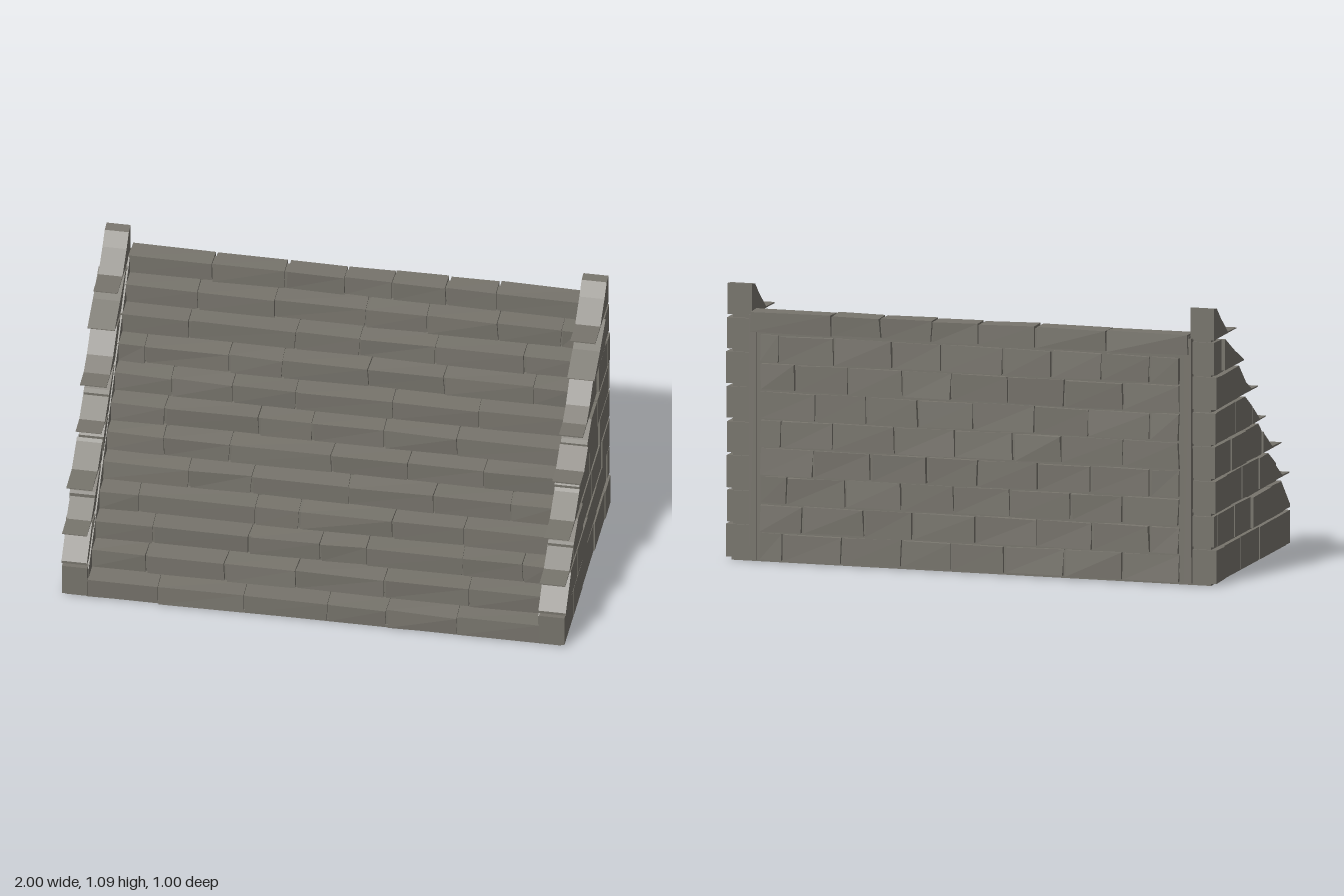
import * as THREE from 'three';

const stone = new THREE.MeshStandardMaterial({ color: 0x77746c, flatShading: true });
stone.name = 'grey stone';

// Repeatable unevenness
let seed = 7;
const wobble = (a) => {
  seed = (seed * 16807) % 2147483647;
  return (seed / 2147483647 - 0.5) * 2 * a;
};

function add(group, name, geometry) {
  const mesh = new THREE.Mesh(geometry, stone);
  mesh.name = name;
  group.add(mesh);
  return mesh;
}

// Rough block between two corners: a box whose eight corners are nudged
function block(x0, x1, y0, y1, z0, z1, rough = 0.004) {
  const g = new THREE.BoxGeometry(x1 - x0, y1 - y0, z1 - z0);
  const shifts = Array.from({ length: 8 }, () => [wobble(rough), wobble(rough * 0.7), wobble(rough)]);
  const p = g.attributes.position;
  for (let i = 0; i < p.count; i++) {
    const k = (p.getX(i) > 0 ? 1 : 0) + (p.getY(i) > 0 ? 2 : 0) + (p.getZ(i) > 0 ? 4 : 0);
    const s = shifts[k];
    p.setXYZ(i, p.getX(i) + s[0], p.getY(i) + s[1], p.getZ(i) + s[2]);
  }
  g.translate((x0 + x1) / 2, (y0 + y1) / 2, (z0 + z1) / 2);
  g.computeVertexNormals();
  return g;
}

// Slab with a [z, y] outline, spanning x0..x1
function sideSlab(outline, x0, x1) {
  const shape = new THREE.Shape(outline.map(([z, y]) => new THREE.Vector2(-z, y)));
  const g = new THREE.ExtrudeGeometry(shape, { depth: x1 - x0, bevelEnabled: false });
  g.rotateY(Math.PI / 2);
  g.translate(x0, 0, 0);
  return g;
}

// Height along a falling-z list of [z, y] points
function heightAt(line, z) {
  for (let i = 0; i < line.length - 1; i++) {
    const [za, ya] = line[i], [zb, yb] = line[i + 1];
    if (z <= za && z >= zb) return ya + (yb - ya) * (za - z) / (za - zb);
  }
  return line[line.length - 1][1];
}

// Stair: brick joints of every step, lowest first
const STEPS = 12, RISE = 0.082, RUN = 0.083;
const stepJoints = [
  [-0.61, -0.27, 0.06, 0.29, 0.57],
  [-0.67, -0.36, -0.08, 0.27, 0.6],
  [-0.66, -0.28, 0, 0.18, 0.56, 0.8],
  [-0.73, -0.27, -0.1, 0.27, 0.55],
  [-0.55, -0.3, 0.08, 0.42, 0.72],
  [-0.66, -0.4, 0, 0.3, 0.6],
  [-0.67, -0.3, -0.09, 0.19, 0.48],
  [-0.66, -0.42, -0.17, 0.21, 0.55],
  [-0.78, -0.45, -0.24, 0.1, 0.4, 0.75],
  [-0.62, -0.2, 0.05, 0.35, 0.7],
  [-0.6, -0.3, 0.06, 0.3, 0.58, 0.83],
  [-0.56, -0.27, -0.04, 0.15, 0.36, 0.56],
];

function buildStair() {
  const group = new THREE.Group();
  group.name = 'stair';
  const core = [[-0.482, 0.004]];
  for (let i = 0; i < STEPS; i++) {
    const z = 0.497 - i * RUN, top = (i + 1) * RISE + 0.002;
    core.push([z - 0.012, i ? top - RISE - 0.008 : 0.004], [z - 0.012, top - 0.008]);
    const xs = [-0.895, ...stepJoints[i], 0.895];
    const back = i === STEPS - 1 ? -0.498 : z - RUN - 0.012;
    for (let j = 0; j < xs.length - 1; j++) {
      add(group, 'stepBrick', block(xs[j] + 0.004, xs[j + 1] - 0.004, top - RISE + 0.002, top, back, z));
    }
  }
  core.push([-0.482, STEPS * RISE - 0.006]);
  add(group, 'stairCore', sideSlab(core, -0.89, 0.89));
  return group;
}

// Back face: staggered bricks over the stair core
function buildBack() {
  const group = new THREE.Group();
  group.name = 'backWall';
  const rows = 8, h = 0.89 / rows;
  for (let r = 0; r < rows; r++) {
    const xs = [-0.855];
    for (let x = -0.855 + (r % 2 ? 0.12 : 0.23); x < 0.78; x += 0.225 + wobble(0.03)) xs.push(x);
    xs.push(0.855);
    for (let j = 0; j < xs.length - 1; j++) {
      add(group, 'backBrick', block(xs[j] + 0.005, xs[j + 1] - 0.005,
        0.012 + r * h, 0.004 + (r + 1) * h, -0.496, -0.465, 0.004));
    }
  }
  return group;
}

// Side walls: each course has a sloping front edge and its own joints
const courses = [
  { y: 0.01, top: [[0.5, 0.138], [-0.47, 0.138]], joints: [0.3, 0.105, -0.14, -0.355] },
  { y: 0.15, top: [[0.497, 0.16], [0.38, 0.273], [-0.47, 0.273]], joints: [0.372, 0.235, 0, -0.205, -0.425] },
  { y: 0.285, top: [[0.495, 0.289], [0.4, 0.293], [0.3, 0.36], [0.21, 0.41], [-0.47, 0.41]], joints: [0.315, 0.1, -0.11, -0.31] },
  { y: 0.421, top: [[0.38, 0.425], [0.26, 0.43], [0.16, 0.495], [0.1, 0.545], [-0.47, 0.545]], joints: [0.145, -0.07, -0.265] },
  { y: 0.557, top: [[0.19, 0.561], [0.11, 0.563], [0, 0.635], [-0.08, 0.681], [-0.47, 0.681]], joints: [0.02, -0.2, -0.44] },
  { y: 0.695, top: [[0.07, 0.699], [-0.01, 0.701], [-0.08, 0.738], [-0.17, 0.818], [-0.47, 0.818]], joints: [-0.237, -0.41] },
  { y: 0.831, top: [[-0.12, 0.835], [-0.24, 0.89], [-0.36, 0.954], [-0.47, 0.954]], joints: [-0.37] },
  { y: 0.966, top: [[-0.18, 0.97], [-0.29, 0.972], [-0.38, 1.04], [-0.43, 1.085], [-0.47, 1.09]], joints: [] },
];

function buildSideWall(side) {
  const group = new THREE.Group();
  group.name = side > 0 ? 'leftWall' : 'rightWall';
  const span = (inner, outer) => (side > 0 ? [inner, outer] : [-outer, -inner]);
  for (const { y, top, joints } of courses) {
    const cuts = [top[0][0], ...joints, -0.47];
    for (let j = 0; j < cuts.length - 1; j++) {
      const a = cuts[j] - (j ? 0.004 : 0), b = cuts[j + 1] + (j < cuts.length - 2 ? 0.004 : 0);
      const between = top.filter(([z]) => z < a - 0.001 && z > b + 0.001);
      const outline = [[a, y + wobble(0.002)], [a, heightAt(top, a)], ...between,
        [b, heightAt(top, b) + wobble(0.003)], [b, y + wobble(0.002)]];
      const [x0, x1] = span(0.89 + wobble(0.003), 0.992 + wobble(0.007));
      add(group, 'wallBrick', sideSlab(outline, x0, x1));
    }
  }
  // Mortar core seen in the joints
  const core = [[0.485, 0.005], [0.485, 0.125], [0.33, 0.265], [-0.38, 0.945], [-0.42, 0.98], [-0.46, 0.98], [-0.46, 0.005]];
  add(group, 'wallCore', sideSlab(core, ...span(0.885, 0.972)));
  // Narrow upright beside the back bricks
  const [p0, p1] = span(0.868, 0.9);
  add(group, 'cornerPost', block(p0, p1, 0.006, 0.97, -0.486, -0.45, 0.002));
  return group;
}

export function createModel() {
  const model = new THREE.Group();
  model.name = 'stoneStaircase';
  model.add(buildStair(), buildBack(), buildSideWall(1), buildSideWall(-1));
  add(model, 'basePlate', block(-0.975, 0.975, 0, 0.012, -0.47, 0.49, 0));
  return model;
}
